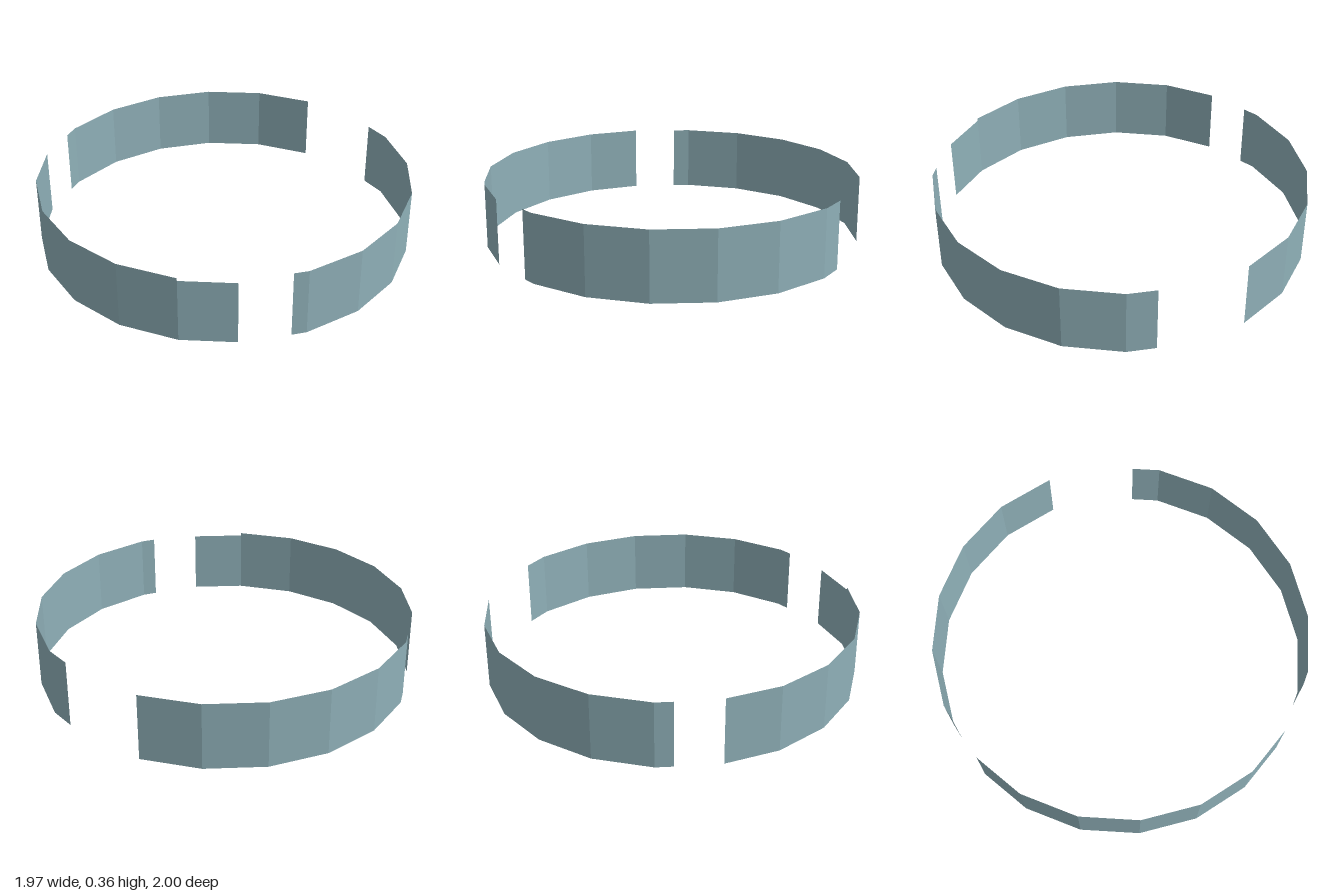
import * as THREE from 'three';

const SIDES = 20;
const HEIGHT = 0.36;
const SHIFT_X = 0.0125;

// Point on the 20-sided ring outline; k counts corners and may be fractional
function ringPoint(k) {
  const corner = (i) => {
    const a = (i / SIDES) * Math.PI * 2;
    return new THREE.Vector2(Math.cos(a) + SHIFT_X, Math.sin(a));
  };
  const i = Math.floor(k);
  return corner(i).lerp(corner(i + 1), k - i);
}

// Thin upright wall following the ring from corner position k0 to k1
function wallSegment(k0, k1, heightOf) {
  const stops = [k0];
  for (let k = Math.floor(k0) + 1; k < k1; k++) stops.push(k);
  stops.push(k1);
  const pos = [];
  for (let i = 0; i < stops.length - 1; i++) {
    const a = ringPoint(stops[i]);
    const b = ringPoint(stops[i + 1]);
    const h = heightOf(i);
    // wound so that the front faces outwards
    pos.push(a.x, 0, a.y, a.x, h, a.y, b.x, h, b.y);
    pos.push(a.x, 0, a.y, b.x, h, b.y, b.x, 0, b.y);
  }
  const geometry = new THREE.BufferGeometry();
  geometry.setAttribute('position', new THREE.Float32BufferAttribute(pos, 3));
  geometry.computeVertexNormals();
  return geometry;
}

export function createModel() {
  const group = new THREE.Group();
  group.name = 'brokenRing';
  const material = new THREE.MeshStandardMaterial({
    color: 0x8fb0b8,
    flatShading: true,
    side: THREE.DoubleSide,
  });

  // Three walls separated by gaps; one end panel is slightly shorter
  const walls = [
    { name: 'frontWall', from: 0.518, to: 6.246, heightOf: () => HEIGHT },
    { name: 'sideWall', from: 7.09, to: 12.94, heightOf: (i) => (i === 0 ? 0.345 : HEIGHT) },
    { name: 'backWall', from: 13.705, to: 19, heightOf: () => 0.357 },
  ];
  for (const { name, from, to, heightOf } of walls) {
    const mesh = new THREE.Mesh(wallSegment(from, to, heightOf), material);
    mesh.name = name;
    group.add(mesh);
  }
  return group;
}
